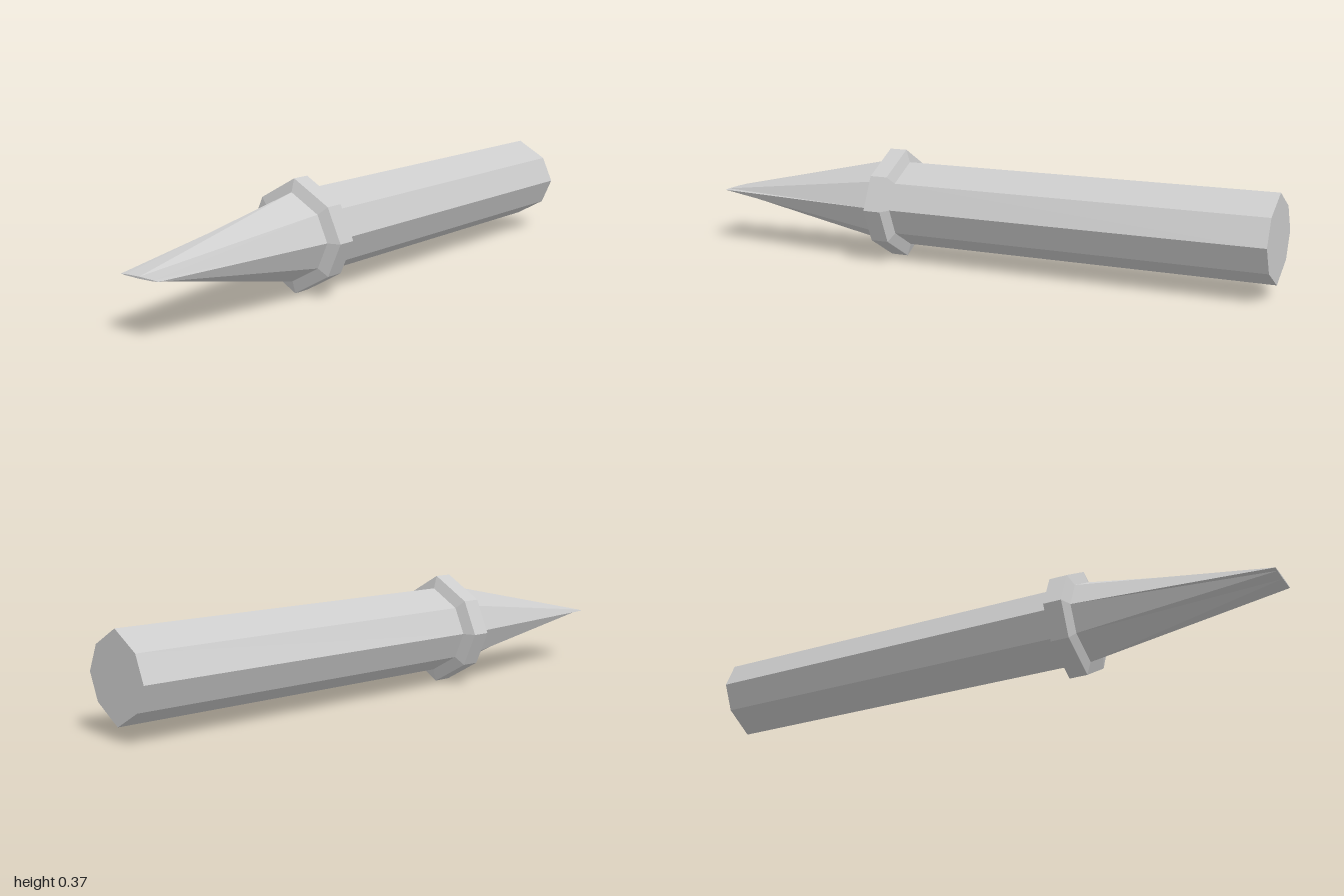
import * as THREE from 'three';

const SIDES = 8;
const CENTRE_Y = 0.185;

// Slightly squashed octagon: full radius on the axes, pulled-in diagonals.
function ring({ z, rx, ry }) {
  const points = [];
  for (let i = 0; i < SIDES; i++) {
    const a = (i / SIDES) * Math.PI * 2;
    const diagonal = i % 2 === 1;
    const x = diagonal ? Math.sign(Math.cos(a)) * 0.73 : Math.cos(a);
    const y = diagonal ? Math.sign(Math.sin(a)) * 0.595 : Math.sin(a);
    points.push([x * rx, CENTRE_Y + y * ry, z]);
  }
  return points;
}

// Skin a row of octagons from back to front, with optional flat end caps.
function loft(name, sections, material, { capBack = false, capFront = false } = {}) {
  const rings = sections.map(ring);
  const positions = [];
  const tri = (a, b, c) => positions.push(...a, ...b, ...c);

  for (let s = 0; s < rings.length - 1; s++) {
    const back = rings[s], front = rings[s + 1];
    for (let i = 0; i < SIDES; i++) {
      const j = (i + 1) % SIDES;
      tri(back[i], back[j], front[j]);
      tri(back[i], front[j], front[i]);
    }
  }
  const first = rings[0], last = rings[rings.length - 1];
  for (let i = 1; i < SIDES - 1; i++) {
    if (capBack) tri(first[0], first[i + 1], first[i]);
    if (capFront) tri(last[0], last[i], last[i + 1]);
  }

  const geometry = new THREE.BufferGeometry();
  geometry.setAttribute('position', new THREE.Float32BufferAttribute(positions, 3));
  geometry.computeVertexNormals();
  const mesh = new THREE.Mesh(geometry, material);
  mesh.name = name;
  return mesh;
}

export function createModel() {
  const group = new THREE.Group();
  group.name = 'chisel';
  const material = new THREE.MeshStandardMaterial({ color: 0xcccccc, flatShading: true });
  const section = (z, rx, ry = rx) => ({ z, rx, ry });

  // Straight octagonal shaft, closed at the back
  group.add(loft('shaft', [section(-1, 0.143), section(0.273, 0.143)], material, { capBack: true }));

  // Collar with bevelled edges
  group.add(loft('collar', [
    section(0.273, 0.143),
    section(0.286, 0.185),
    section(0.348, 0.185),
    section(0.361, 0.143),
  ], material));

  // Blade tapering to a wide, very thin edge
  group.add(loft('blade', [section(0.361, 0.143), section(1, 0.075, 0.003)], material, { capFront: true }));

  return group;
}
